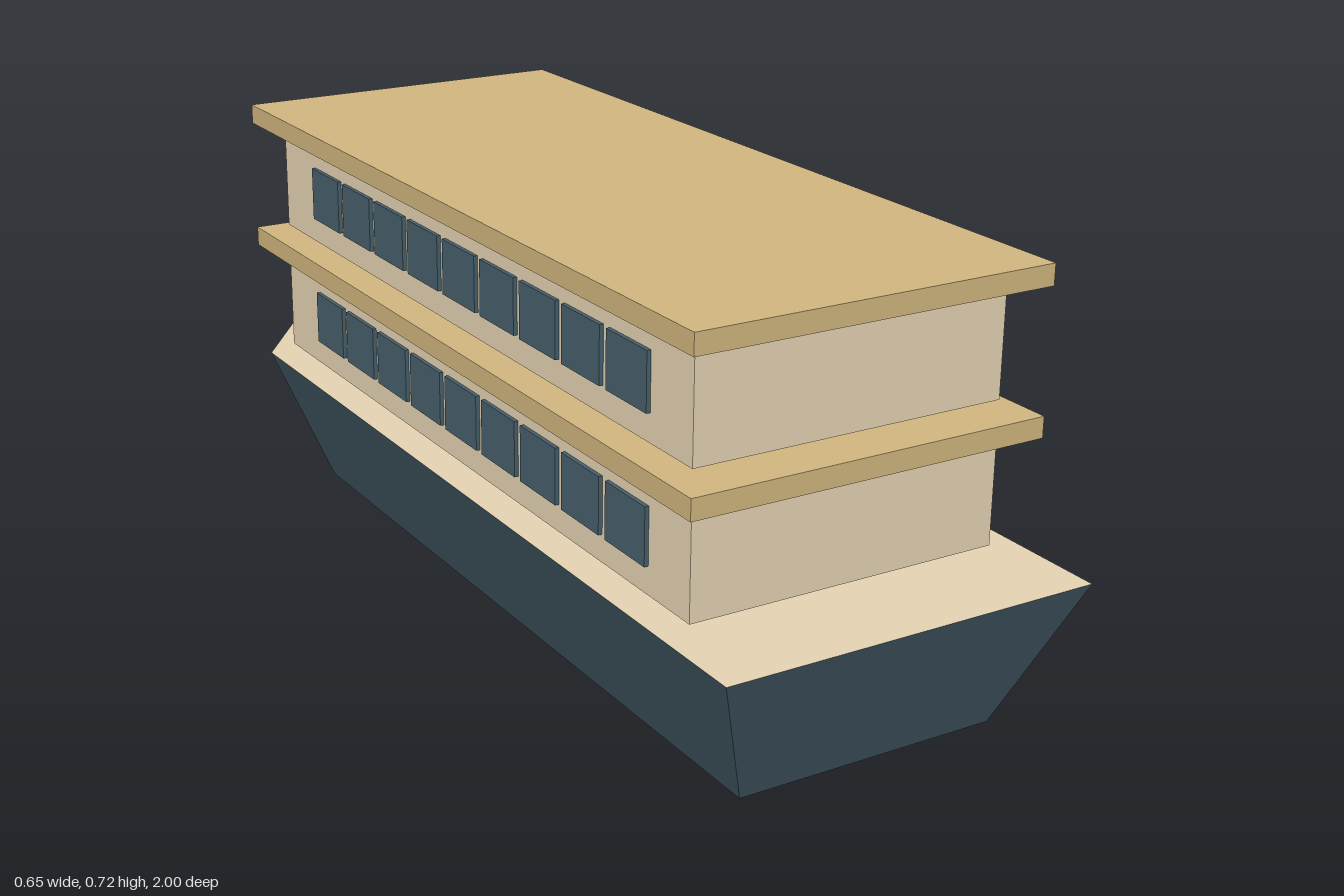
import * as THREE from 'three';

const hullMat = new THREE.MeshStandardMaterial({ name: 'slateBlue', color: 0x48606d, side: THREE.DoubleSide });
const wallMat = new THREE.MeshStandardMaterial({ name: 'sandBeige', color: 0xe6d5b4, side: THREE.DoubleSide });
const roofMat = new THREE.MeshStandardMaterial({ name: 'tan', color: 0xd2b780 });

// Five-sided hull outline, counter-clockwise from above, with the bow at -z
function outline(halfWidth, y, stern, shoulder, bow) {
  return [[halfWidth, stern], [halfWidth, shoulder], [0, bow], [-halfWidth, shoulder], [-halfWidth, stern]]
    .map(([x, z]) => new THREE.Vector3(x, y, z));
}

function surface(name, points, index, material) {
  const geometry = new THREE.BufferGeometry().setFromPoints(points);
  geometry.setIndex(index);
  geometry.computeVertexNormals();
  const mesh = new THREE.Mesh(geometry, material);
  mesh.name = name;
  return mesh;
}

function box(name, width, y0, y1, z0, z1, material, x = 0) {
  const mesh = new THREE.Mesh(new THREE.BoxGeometry(width, y1 - y0, z1 - z0), material);
  mesh.position.set(x, (y0 + y1) / 2, (z0 + z1) / 2);
  mesh.name = name;
  return mesh;
}

// Flared hull shell, open underneath, closed on top by a flat deck
function createHull() {
  const hull = new THREE.Group();
  hull.name = 'hull';
  const low = outline(0.228, 0, 0.9, -0.505, -0.9);
  const high = outline(0.325, 0.25, 1, -0.562, -1);
  const points = [];
  const index = [];
  low.forEach((corner, i) => {
    const j = (i + 1) % low.length;
    const n = points.length;
    points.push(corner, low[j], high[j], high[i]);
    index.push(n, n + 1, n + 2, n, n + 2, n + 3);
  });
  hull.add(
    surface('hullSides', points, index, hullMat),
    surface('deck', high, [0, 1, 2, 0, 2, 3, 0, 3, 4], wallMat)
  );
  return hull;
}

// One storey: cabin, overhanging roof and a row of windows on each side
function createStorey(name, base) {
  const storey = new THREE.Group();
  storey.name = name;
  storey.add(
    box('cabin', 0.546, 0, 0.188, -0.573, 0.828, wallMat),
    box('roof', 0.624, 0.188, 0.223, -0.635, 0.885, roofMat)
  );
  for (const side of [-1, 1]) {
    for (let i = 0; i < 9; i++) {
      const z = 0.661 - i * 0.1303;
      storey.add(box(side > 0 ? 'leftWindow' : 'rightWindow', 0.008, 0.046, 0.141, z - 0.056, z + 0.056, hullMat, side * 0.276));
    }
  }
  storey.position.y = base;
  return storey;
}

export function createModel() {
  const model = new THREE.Group();
  model.name = 'houseboat';
  model.add(createHull(), createStorey('lowerStorey', 0.257), createStorey('upperStorey', 0.495));
  return model;
}
